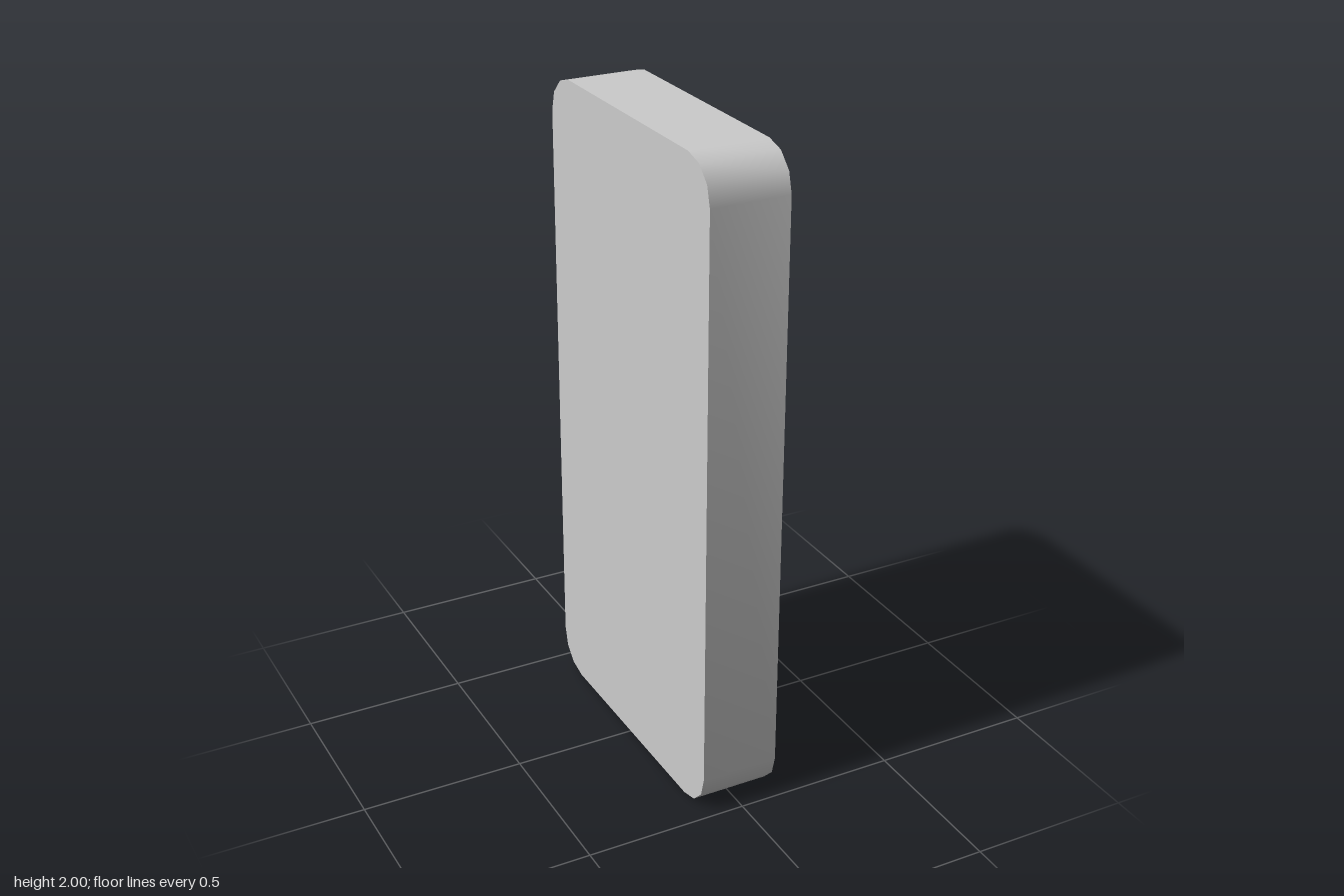
import * as THREE from 'three';
import { toCreasedNormals } from 'three/addons/utils/BufferGeometryUtils.js';

const HALF_W = 0.48, HEIGHT = 2, HALF_D = 0.12, CORNER = 0.12;
const PIT_R = 0.107, SLOT_DEPTH = 0.025;

const smooth = new THREE.MeshStandardMaterial({ color: 0xcccccc });
const faceted = new THREE.MeshStandardMaterial({ color: 0xcccccc, flatShading: true });

function rectangle(u0, u1, v0, v1) {
  return [[u0, v0], [u1, v0], [u1, v1], [u0, v1]].map(([u, v]) => new THREE.Vector2(u, v));
}

// Counter-clockwise rectangle with three-segment rounded corners
function roundedOutline() {
  const points = [];
  const u = HALF_W - CORNER;
  const centres = [[u, HEIGHT - CORNER], [-u, HEIGHT - CORNER], [-u, CORNER], [u, CORNER]];
  centres.forEach(([cu, cv], k) => {
    for (let i = 0; i <= 3; i++) {
      const a = (k + i / 3) * Math.PI / 2;
      points.push(new THREE.Vector2(cu + CORNER * Math.cos(a), cv + CORNER * Math.sin(a)));
    }
  });
  return points;
}

// Closed band along a loop; counter-clockwise loops face outward, clockwise ones inward
function wall(points, z0, z1) {
  const pos = [];
  points.forEach((p, i) => {
    const q = points[(i + 1) % points.length];
    pos.push(p.x, p.y, z0, q.x, q.y, z0, q.x, q.y, z1);
    pos.push(p.x, p.y, z0, q.x, q.y, z1, p.x, p.y, z1);
  });
  const geo = new THREE.BufferGeometry();
  geo.setAttribute('position', new THREE.Float32BufferAttribute(pos, 3));
  return toCreasedNormals(geo, 0.6);
}

export function createModel() {
  const model = new THREE.Group();
  model.name = 'panel';
  const add = (name, geo, mat = smooth) => {
    const mesh = new THREE.Mesh(geo, mat);
    mesh.name = name;
    model.add(mesh);
    return mesh;
  };

  const outline = roundedOutline();
  const slot = rectangle(-0.394, 0.384, 0.966, 1.034);
  const face = new THREE.Shape(outline);
  face.holes.push(new THREE.Path(slot));

  // Six ten-sided hemispherical pits, in two columns
  const profile = [];
  for (let i = 0; i <= 5; i++) {
    const a = i * Math.PI / 10;
    profile.push(new THREE.Vector2(i === 5 ? 0 : PIT_R * Math.cos(a), -PIT_R * Math.sin(a)));
  }
  const bowl = new THREE.LatheGeometry(profile, 10, Math.PI / 2).rotateX(Math.PI / 2);
  for (const u of [-0.24, 0.24]) {
    for (const v of [1.25, 1.5, 1.75]) {
      add('pit', bowl, faceted).position.set(u, v, HALF_D);
      const rim = [];
      for (let i = 0; i < 10; i++) {
        const a = i * Math.PI / 5;
        rim.push(new THREE.Vector2(u + PIT_R * Math.cos(a), v + PIT_R * Math.sin(a)));
      }
      face.holes.push(new THREE.Path(rim));
    }
  }

  // Slab: pierced face, plain back and rounded edge
  add('face', new THREE.ShapeGeometry(face).translate(0, 0, HALF_D));
  add('back', new THREE.ShapeGeometry(new THREE.Shape(outline)).rotateY(Math.PI).translate(0, 0, -HALF_D));
  add('edge', wall(outline, -HALF_D, HALF_D));

  // Shallow slot below the pits
  const floor = HALF_D - SLOT_DEPTH;
  add('slotWalls', wall([...slot].reverse(), floor, HALF_D));
  add('slotFloor', new THREE.ShapeGeometry(new THREE.Shape(slot)).translate(0, 0, floor));

  // Turn the pierced face toward +x
  model.rotation.y = Math.PI / 2;
  const group = new THREE.Group();
  group.add(model);
  return group;
}
